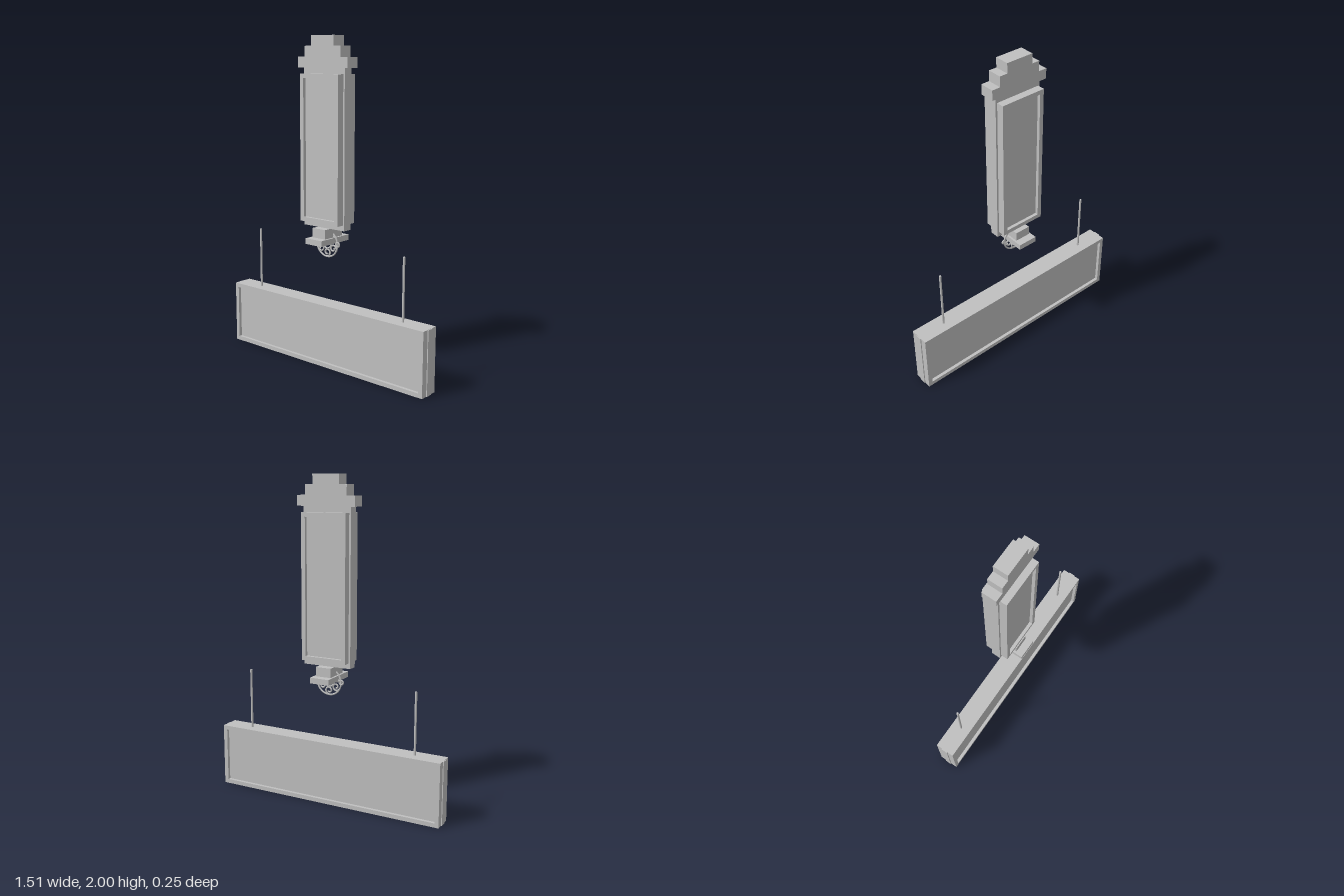
import * as THREE from 'three';

export function createModel() {
  const model = new THREE.Group();
  const grey = new THREE.MeshStandardMaterial({ color: 0xc0c0c0 });
  grey.name = 'plainGrey';

  const add = (name, geometry, parent = model) => {
    const mesh = new THREE.Mesh(geometry, grey);
    mesh.name = name;
    parent.add(mesh);
    return mesh;
  };

  // Box from half width, bottom, top and half depth
  const block = (name, hx, y0, y1, hz, parent) => {
    const mesh = add(name, new THREE.BoxGeometry(hx * 2, y1 - y0, hz * 2), parent);
    mesh.position.y = (y0 + y1) / 2;
    return mesh;
  };

  const rectangle = (path, hx, y0, y1) => path
    .moveTo(-hx, y0).lineTo(hx, y0).lineTo(hx, y1).lineTo(-hx, y1).closePath();

  // Two-sided sign face: a body with a raised rim front and back
  const signFace = (name, hx, y0, y1, hz, border, recess) => {
    const group = new THREE.Group();
    group.name = name;
    block(name + 'Panel', hx - border, y0 + border, y1 - border, hz - recess, group);
    const rim = new THREE.Shape();
    rectangle(rim, hx, y0, y1);
    const hole = new THREE.Path();
    rectangle(hole, hx - border, y0 + border, y1 - border);
    rim.holes.push(hole);
    const geometry = new THREE.ExtrudeGeometry(rim, { depth: hz * 2, bevelEnabled: false });
    geometry.translate(0, 0, -hz);
    add(name + 'Rim', geometry, group);
    model.add(group);
  };

  // Wide hanging sign with a raised band round its ends
  signFace('lowerSign', 0.75, 0, 0.393, 0.0625, 0.026, 0.02);
  for (const s of [-1, 1]) {
    const band = block('endBand', 0.004, 0.001, 0.392, 0.021);
    band.position.x = s * 0.7515;
    const rod = add('hangingRod', new THREE.CylinderGeometry(0.007, 0.007, 0.385, 12));
    rod.position.set(s * 0.568, 0.5825, 0);
  }

  // Tall sign on a thin backing board
  block('backingBoard', 0.157, 0.867, 1.815, 0.03);
  signFace('tallSign', 0.146, 0.9, 1.78, 0.077, 0.026, 0.02);

  // Stepped crown
  [[0.19, 1.815, 1.877], [0.137, 1.877, 1.94], [0.087, 1.94, 2]].forEach(
    ([hx, y0, y1]) => block('crownStep', hx, y0, y1, 0.045));

  // Bracket below the tall sign
  block('bracketNeck', 0.05, 0.81, 0.867, 0.077);
  block('bracketFoot', 0.0625, 0.775, 0.81, 0.125);

  // Flat scrollwork ornament
  const ornament = new THREE.Group();
  ornament.name = 'scrollOrnament';
  ornament.position.y = 0.766;
  model.add(ornament);
  const tube = 0.0055;
  const ring = (name, x, y, r) => {
    add(name, new THREE.TorusGeometry(r, tube, 8, 28), ornament).position.set(x, y, 0);
  };
  ring('outerRing', 0, 0, 0.081);
  ring('innerRing', 0, 0, 0.03);
  for (const s of [-1, 1]) ring('sideCurl', s * 0.082, 0.003, 0.013);
  for (let i = 0; i < 6; i++) {
    // Spiral curling from the inner ring out to the rim
    const points = [];
    for (let k = 0; k <= 14; k++) {
      const t = k / 14;
      const a = t * Math.PI * 2.4;
      const r = 0.026 * (1 - 0.7 * t);
      points.push(new THREE.Vector3(0.054 + r * Math.cos(a), r * Math.sin(a), 0));
    }
    const curve = new THREE.CatmullRomCurve3(points);
    const scroll = add('scroll', new THREE.TubeGeometry(curve, 40, tube, 7), ornament);
    scroll.rotation.z = (i + 0.5) * Math.PI / 3;
  }

  return model;
}
